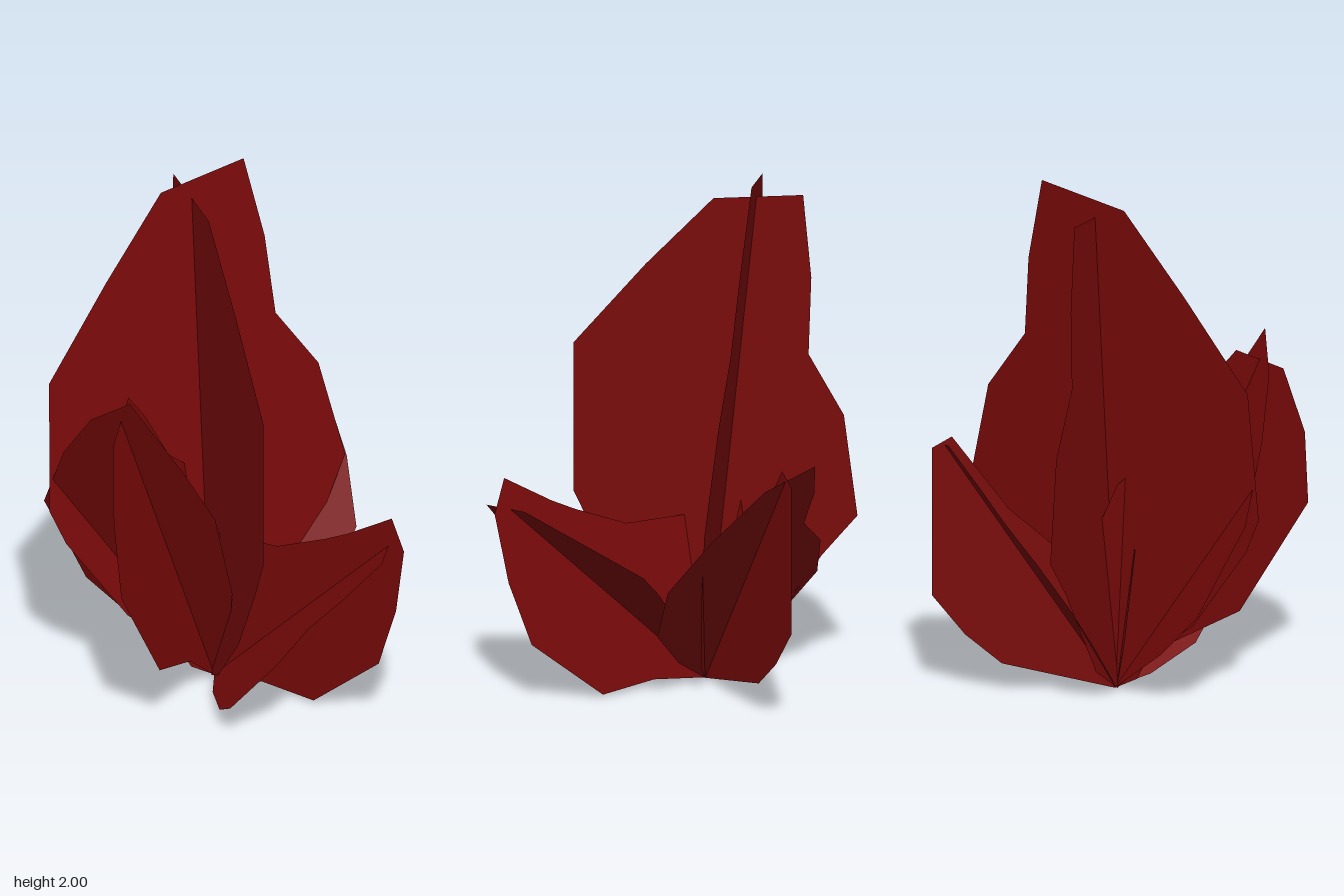
import * as THREE from 'three';

const material = new THREE.MeshStandardMaterial({ color: 0x7a0909, side: THREE.DoubleSide });

// Thin petal: a 2D outline laid onto a leaning plane by a placing rule
function petal(name, outline, place) {
  const shape = new THREE.Shape(outline.map(([a, b]) => new THREE.Vector2(a, b)));
  const geometry = new THREE.ShapeGeometry(shape);
  const pos = geometry.attributes.position;
  for (let i = 0; i < pos.count; i++) {
    pos.setXYZ(i, ...place(pos.getX(i), pos.getY(i)));
  }
  geometry.computeVertexNormals();
  const mesh = new THREE.Mesh(geometry, material);
  mesh.name = name;
  return mesh;
}

// Leaning planes: each gives the missing coordinate from the two in the outline
const overXY = (a, b, c) => (x, y) => [x, y, a + b * x + c * y];
const overZY = (a, b, c) => (z, y) => [a + b * y + c * z, y, z];
const overXZ = (a, b, c) => (x, z) => [x, a + b * x + c * z, z];

function cluster(name, ...petals) {
  const group = new THREE.Group();
  group.name = name;
  group.add(...petals);
  return group;
}

export function createModel() {
  const model = new THREE.Group();
  model.name = 'flameCluster';

  // Tall central pair, crossed at right angles and leaning back
  model.add(cluster('centralFlame',
    petal('centralWidePetal', [
      [0.03, 0], [0.2, 0.1], [0.45, 0.48], [0.58, 0.76], [0.49, 1.14], [0.33, 1.37],
      [0.3, 1.68], [0.23, 2], [-0.1, 1.93], [-0.33, 1.62], [-0.57, 1.27], [-0.59, 0.77],
      [-0.53, 0.63], [-0.3, 0.3], [-0.12, 0.16], [-0.06, 0.05],
    ], overXY(-0.1, 0, -0.1)),
    petal('centralDeepPetal', [
      [-0.1, 0], [-0.28, 0.12], [-0.53, 0.5], [-0.66, 0.66], [-0.61, 1.05], [-0.48, 1.28],
      [-0.49, 1.58], [-0.46, 1.9], [-0.13, 1.87], [0.12, 1.6], [0.385, 1.28], [0.385, 0.7],
      [0.3, 0.52], [0.15, 0.25], [-0.04, 0.03],
    ], overZY(0.02, 0, 0))));

  // Low flame spreading forward and left
  model.add(cluster('frontFlame',
    petal('frontBroadPetal', [
      [0.03, -0.1], [0.25, -0.06], [0.43, 0.01], [0.49, 0.06], [0.485, 0.3], [0.48, 0.5],
      [0.375, 0.655], [0.25, 0.575], [0.16, 0.48], [0.03, 0.475], [-0.11, 0.38],
      [-0.11, 0.28], [-0.04, 0.05],
    ], overXZ(0.03, 1, 0.55)),
    petal('frontUprightPetal', [
      [-0.1, 0], [0.07, 0.03], [0.24, 0.01], [0.48, 0.25], [0.56, 0.5], [0.61, 0.77],
      [0.58, 0.9], [0.42, 0.78], [0.34, 0.73], [0.17, 0.64], [-0.02, 0.63], [-0.17, 0.57],
      [-0.15, 0.2],
    ], overZY(0.1, -0.1, 0.75))));

  // Flame spreading to the right
  model.add(cluster('rightFlame',
    petal('rightBroadPetal', [
      [-0.1, 0], [-0.22, 0.2], [-0.29, 0.4], [-0.27, 0.62], [-0.26, 0.77], [-0.1, 1.05],
      [0.05, 1.25], [0.2, 1.37], [0.22, 1.05], [0.22, 0.83], [0.12, 0.45], [-0.03, 0.1],
    ], overZY(0.138, -0.57, 1.06)),
    petal('rightUprightPetal', [
      [0.03, 0], [-0.12, 0.15], [-0.32, 0.25], [-0.53, 0.66], [-0.54, 0.95], [-0.5, 1.22],
      [-0.38, 1.32], [-0.28, 1.18], [-0.15, 0.95], [-0.03, 0.83], [0.05, 0.62], [0.06, 0.35],
    ], overXY(-0.07, -1.05, -0.2))));

  // Flame spreading back and left
  model.add(cluster('backFlame',
    petal('backBroadPetal', [
      [-0.1, 0], [-0.03, 0.12], [0.02, 0.3], [-0.04, 0.53], [-0.2, 0.74], [-0.4, 0.95],
      [-0.57, 1.02], [-0.55, 0.87], [-0.5, 0.72], [-0.54, 0.6], [-0.51, 0.43],
      [-0.38, 0.26], [-0.2, 0.07],
    ], overZY(0.13, 0.9, 1)),
    petal('backUprightPetal', [
      [0.03, 0], [0.2, 0.06], [0.37, 0.12], [0.48, 0.24], [0.58, 0.4], [0.58, 0.97],
      [0.52, 1.01], [0.35, 0.72], [0.2, 0.55], [0.02, 0.5], [0.01, 0.2],
    ], overXY(-0.08, -0.72, 0))));

  return model;
}
